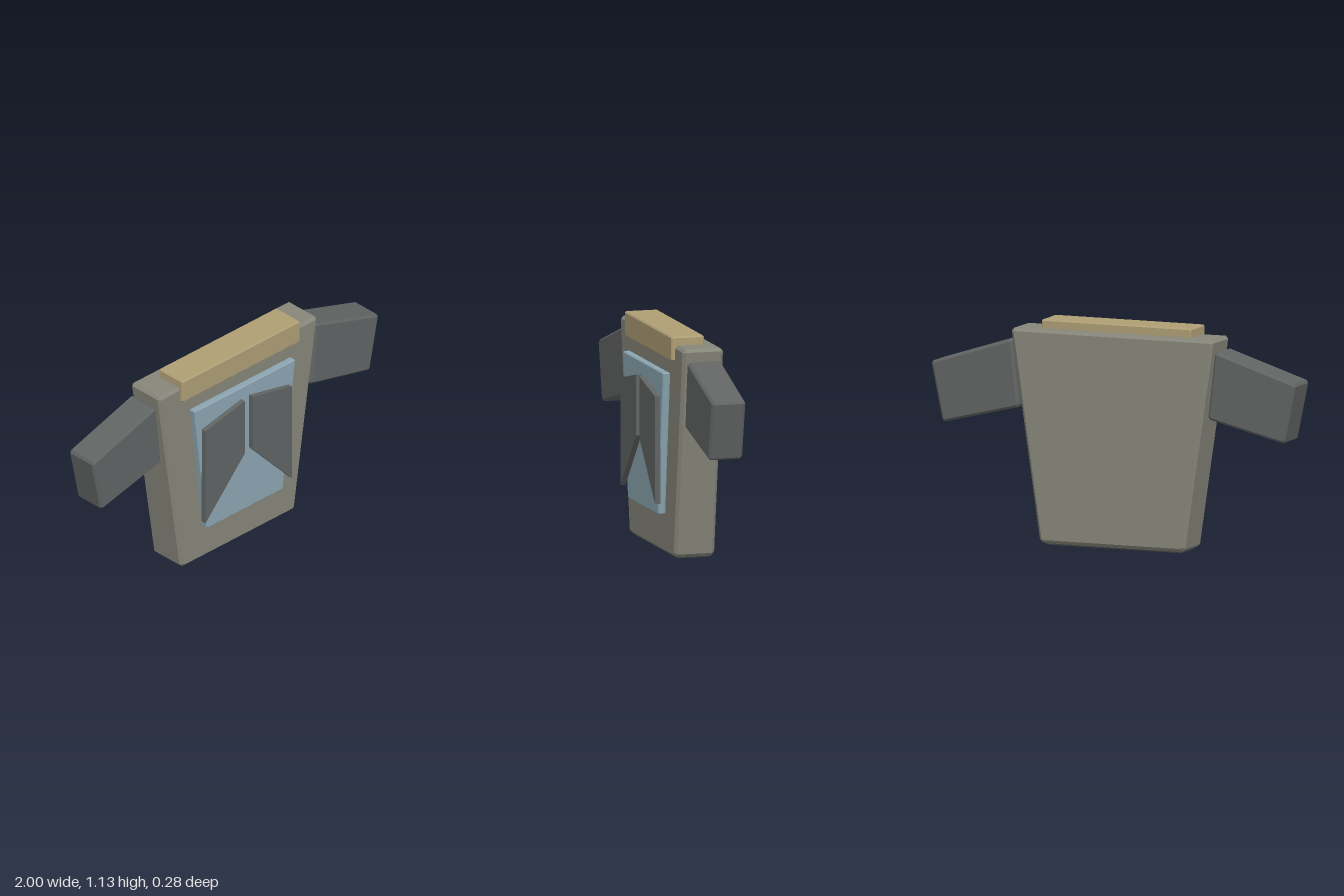
import * as THREE from 'three';

const mat = (name, color) => {
  const m = new THREE.MeshStandardMaterial({ color });
  m.name = name;
  return m;
};

// Cuts every corner of an outline by a distance c
function chamfered(points, c) {
  const out = [];
  points.forEach((p, i) => {
    const here = new THREE.Vector2(...p);
    for (const step of [points.length - 1, 1]) {
      const next = new THREE.Vector2(...points[(i + step) % points.length]);
      out.push(next.sub(here).setLength(c).add(here));
    }
  });
  return out;
}

// Flat slab between z0 and z1 with chamfered edges
function slab(name, points, z0, z1, bevel, material) {
  const outline = bevel ? chamfered(points, bevel) : points.map(p => new THREE.Vector2(...p));
  const geo = new THREE.ExtrudeGeometry(new THREE.Shape(outline), {
    depth: z1 - z0 - 2 * bevel,
    bevelEnabled: bevel > 0,
    bevelThickness: bevel,
    bevelSize: bevel,
    bevelOffset: -bevel,
    bevelSegments: 1,
  });
  geo.translate(0, 0, z0 + bevel);
  const mesh = new THREE.Mesh(geo, material);
  mesh.name = name;
  return mesh;
}

// Symmetric trapezoid outline
const trapezoid = (bottom, top, y0, y1) => [[-bottom, y0], [bottom, y0], [top, y1], [-top, y1]];

export function createModel() {
  const olive = mat('olive grey', 0x87867a);
  const tan = mat('tan', 0xae9e74);
  const blue = mat('pale blue', 0x8ba5b1);
  const dark = mat('dark grey', 0x606463);

  const model = new THREE.Group();
  model.name = 'armourTorso';

  // Torso, waist plate, collar and chest panel
  model.add(
    slab('torso', trapezoid(0.396, 0.555, 0.01, 1.09), -0.14, 0.072, 0.015, olive),
    slab('waistPlate', trapezoid(0.375, 0.375, 0, 0.06), -0.123, 0.053, 0.008, dark),
    slab('collar', trapezoid(0.41, 0.41, 1.01, 1.135), -0.082, 0.092, 0.007, tan),
    slab('chestPanel', trapezoid(0.265, 0.352, 0.21, 0.943), 0.079, 0.118, 0.005, blue),
  );

  // Mirrored sleeves and chest flaps
  const sleeve = [[0.517, 0.688], [0.937, 0.587], [1.0, 0.892], [0.557, 1.033]];
  const flap = [[0.028, 0.565], [0.302, 0.27], [0.302, 0.817], [0.028, 0.876]];
  for (const [side, s] of [['left', 1], ['right', -1]]) {
    const mirror = pts => {
      const m = pts.map(([x, y]) => [x * s, y]);
      return s < 0 ? m.reverse() : m;
    };
    model.add(
      slab(side + 'Sleeve', mirror(sleeve), -0.123, 0.054, 0.012, dark),
      slab(side + 'ChestFlap', mirror(flap), 0.117, 0.145, 0, dark),
    );
  }
  return model;
}
